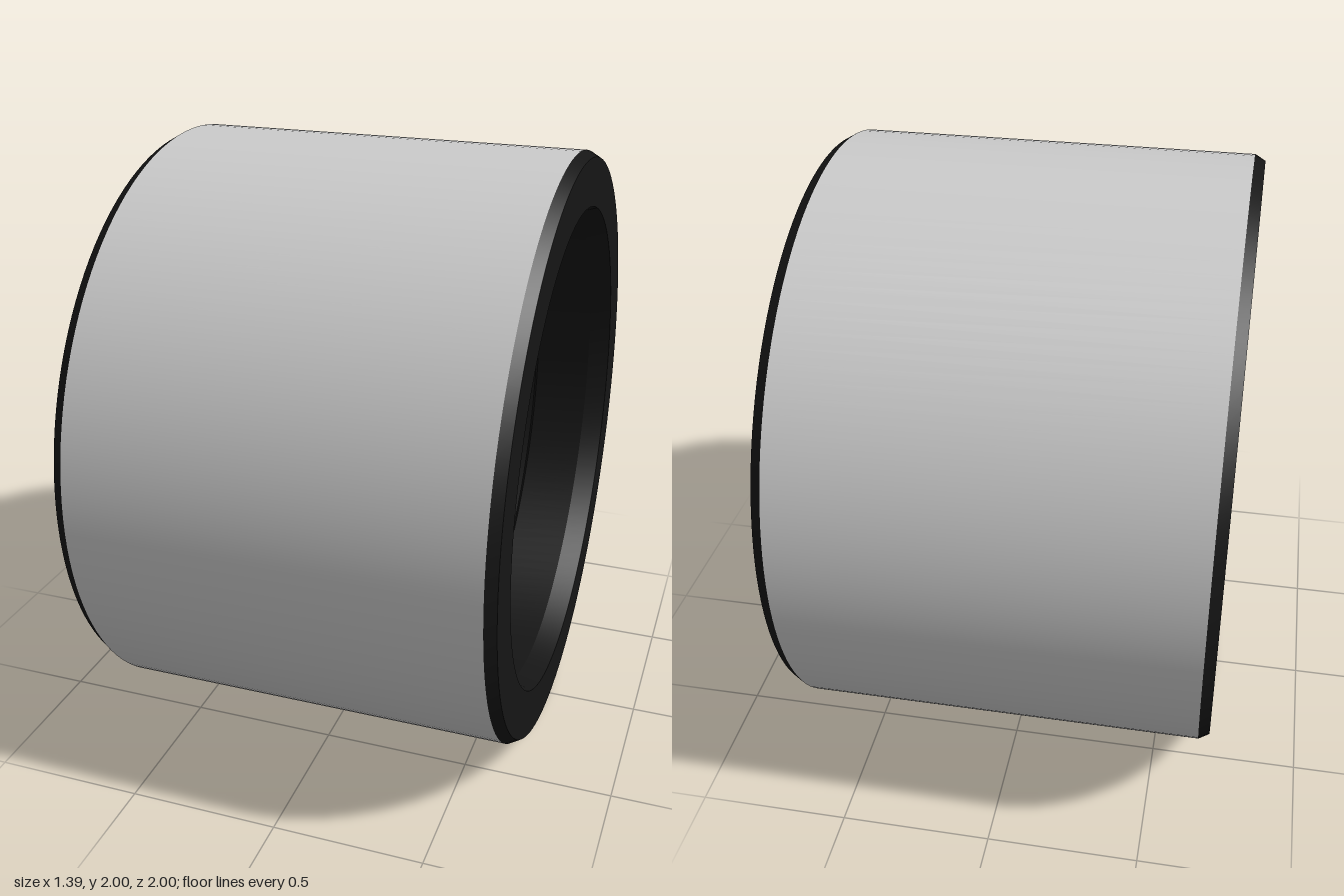
import * as THREE from 'three';
import { toCreasedNormals } from 'three/addons/utils/BufferGeometryUtils.js';

const SEGMENTS = 128;
const HALF = 0.695;    // half length of the bushing
const SHOULDER = 0.66; // where the end chamfers begin
const BORE = 0.8;

// Revolve a [radius, axial] profile around the x axis
function revolve(name, profile, color) {
  const points = profile.map(([r, a]) => new THREE.Vector2(r, a));
  const geometry = toCreasedNormals(new THREE.LatheGeometry(points, SEGMENTS), 0.2);
  geometry.rotateZ(-Math.PI / 2);
  const mesh = new THREE.Mesh(geometry, new THREE.MeshStandardMaterial({ color }));
  mesh.name = name;
  return mesh;
}

export function createModel() {
  const group = new THREE.Group();
  group.name = 'bushing';

  // Smooth outer sleeve
  group.add(revolve('outerSleeve', [[1, -SHOULDER], [1, SHOULDER]], 0xcccccc));

  // Dark liner: end chamfers, end faces, bevelled mouths and grooved bore
  const mouth = [[1, SHOULDER], [0.98, HALF], [0.82, HALF], [BORE, 0.62]];
  const liner = [...mouth];
  for (const centre of [0.4, 0.133, -0.133, -0.4]) {
    // Shallow grease groove with sloping sides
    liner.push([BORE, centre + 0.02], [BORE + 0.018, centre + 0.01],
      [BORE + 0.018, centre - 0.01], [BORE, centre - 0.02]);
  }
  liner.push(...mouth.map(([r, a]) => [r, -a]).reverse());
  group.add(revolve('boreLiner', liner, 0x151515));

  group.position.y = 1;
  const model = new THREE.Group();
  model.add(group);
  return model;
}
